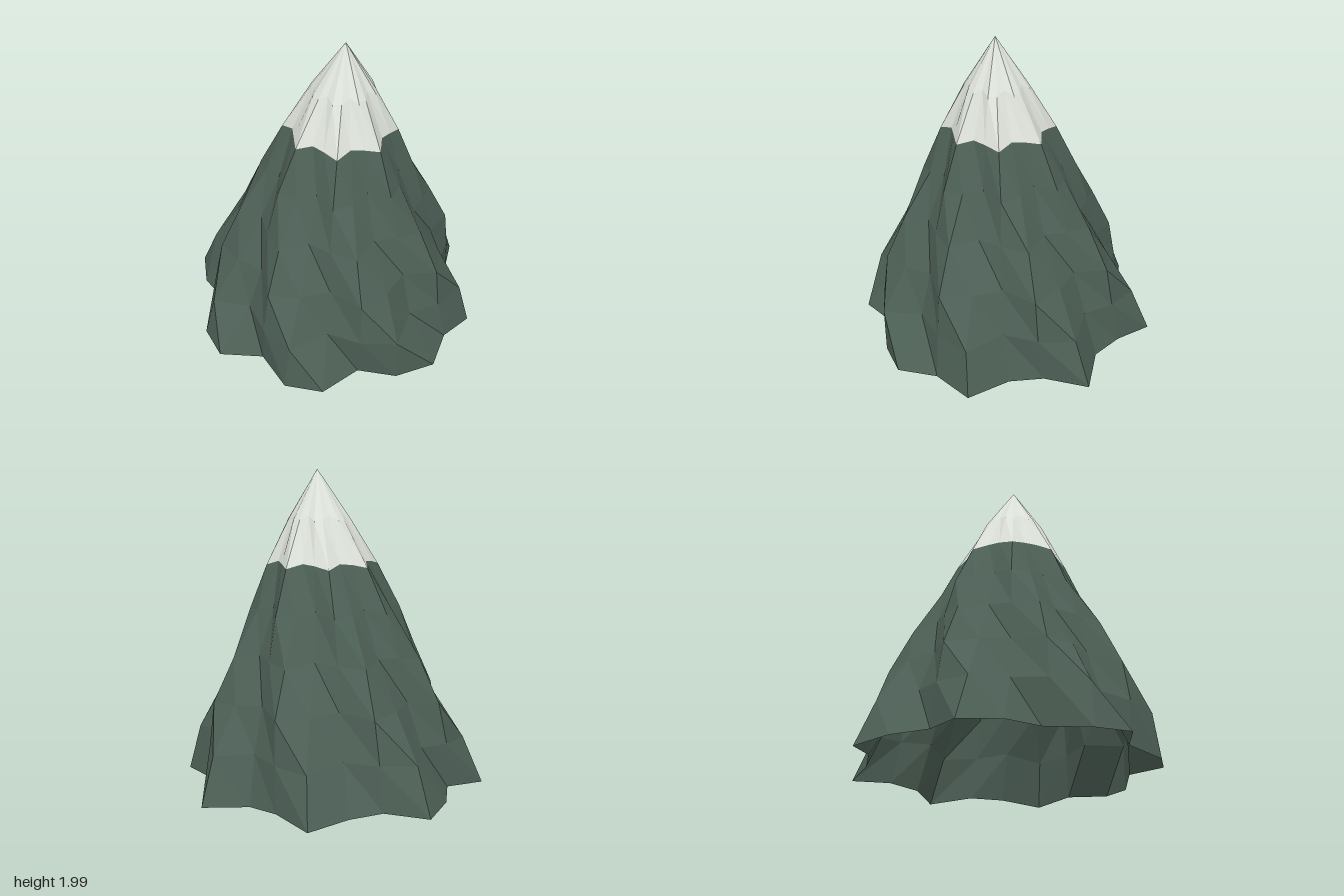
import * as THREE from 'three';

const SEGMENTS = 24;
const LOBES = 8;

// Outline of the foot, one radius per 15 degrees, from the front towards +x
const FOOT = [0.81, 0.94, 0.96, 0.81, 0.91, 0.98, 0.89, 0.97, 0.81, 0.83, 0.98, 0.79,
  0.83, 0.97, 0.82, 0.81, 0.96, 0.88, 0.79, 0.98, 0.89, 0.76, 0.94, 0.97];

// Height, mean radius, centre x, centre z of each level
const LEVELS = [
  [0.022, 0.885, 0.0, 0.0],
  [0.31, 0.80, 0.03, 0.02],
  [0.585, 0.695, 0.045, 0.02],
  [0.86, 0.57, 0.045, 0.025],
  [1.14, 0.445, 0.055, 0.02],
  [1.42, 0.322, 0.075, 0.02],
  [1.70, 0.187, 0.095, 0.02],
  [2.0, 0, 0.11, 0.02],
];

// Point on the slope; the ridges twist a little with every level
function slopePoint(level, k) {
  const [y, radius, cx, cz] = LEVELS[level];
  const i = k % SEGMENTS;
  const angle = (i / SEGMENTS) * Math.PI * 2;
  const phase = THREE.MathUtils.degToRad(18 - 7 * level);
  const ridge = Math.cos(LOBES * (angle - phase));
  const r = level === 0 ? FOOT[i] : radius * (1 + 0.11 * ridge);
  const lift = radius === 0 ? 0 : -0.018 * ridge;
  return [cx + r * Math.sin(angle), Math.max(0, y + lift), cz + r * Math.cos(angle)];
}

// Faceted band of the mountain between two levels
function band(name, from, to, material) {
  const positions = [];
  for (let level = from; level < to; level++) {
    for (let k = 0; k < SEGMENTS; k++) {
      const a = slopePoint(level + 1, k);
      const b = slopePoint(level, k);
      const c = slopePoint(level, k + 1);
      const d = slopePoint(level + 1, k + 1);
      positions.push(...a, ...b, ...c);
      if (LEVELS[level + 1][1] > 0) positions.push(...a, ...c, ...d);
    }
  }
  const geometry = new THREE.BufferGeometry();
  geometry.setAttribute('position', new THREE.Float32BufferAttribute(positions, 3));
  geometry.computeVertexNormals();
  const mesh = new THREE.Mesh(geometry, material);
  mesh.name = name;
  return mesh;
}

export function createModel() {
  const rock = new THREE.MeshStandardMaterial({
    name: 'green rock', color: 0x4d6056, flatShading: true, side: THREE.DoubleSide,
  });
  const snow = new THREE.MeshStandardMaterial({
    name: 'snow', color: 0xdde2da, flatShading: true, side: THREE.DoubleSide,
  });

  const mountain = new THREE.Group();
  mountain.name = 'mountain';
  mountain.add(band('rockSlopes', 0, 5, rock)); // open underneath
  mountain.add(band('snowCap', 5, 7, snow));
  return mountain;
}
